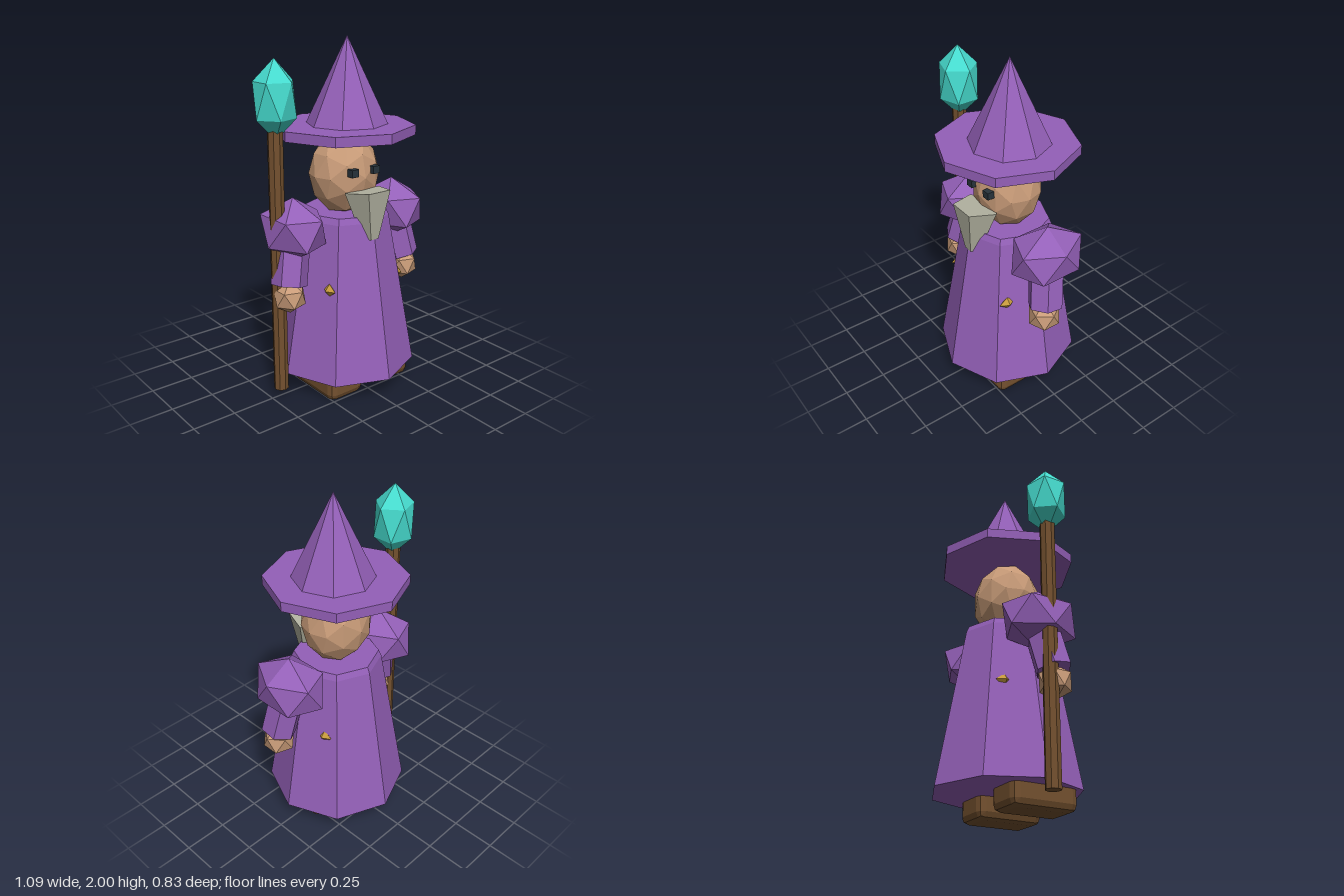
import * as THREE from 'three';
import { RoundedBoxGeometry } from 'three/addons/geometries/RoundedBoxGeometry.js';

const mat = (color) => new THREE.MeshStandardMaterial({ color, flatShading: true });
const cloth = mat(0x9460b8), skin = mat(0xc89b78), wood = mat(0x74512f),
  hair = mat(0xb4b4a2), gem = mat(0x46dccf), gold = mat(0xc79a3c), dark = mat(0x28343c);

export function createModel() {
  const model = new THREE.Group();
  const add = (name, geometry, material, x, y, z) => {
    const mesh = new THREE.Mesh(geometry, material);
    mesh.name = name;
    mesh.position.set(x, y, z);
    model.add(mesh);
    return mesh;
  };
  // Icosahedron standing on a point, stretched per axis
  const nugget = (sx, sy, sz) => new THREE.IcosahedronGeometry(1, 0)
    .rotateZ(-Math.atan(2 / (1 + Math.sqrt(5)))).scale(sx, sy, sz);

  // Robe and collar
  add('robe', new THREE.CylinderGeometry(0.255, 0.413, 0.89, 8), cloth, 0.02, 0.565, 0);
  add('collar', new THREE.CylinderGeometry(0.24, 0.255, 0.035, 8), cloth, 0.02, 1.0275, 0);

  // Head, eyes and beard
  add('head', new THREE.IcosahedronGeometry(1, 1).scale(0.205, 0.24, 0.19), skin, 0.02, 1.25, 0);
  for (const x of [-0.057, 0.093])
    add('eye', new THREE.BoxGeometry(0.047, 0.042, 0.05), dark, x, 1.288, 0.172);
  const beard = add('beard', new THREE.CylinderGeometry(0.13, 0.045, 0.27, 5).rotateY(Math.PI),
    hair, 0.02, 1.05, 0.218);
  beard.rotation.x = -0.12;

  // Pointed hat
  add('hatBrim', new THREE.CylinderGeometry(0.395, 0.395, 0.055, 8), cloth, 0.02, 1.4975, 0);
  add('hatCone', new THREE.ConeGeometry(0.228, 0.475, 8), cloth, 0.04, 1.7625, 0);

  // Arms: puffed shoulder, slanting sleeve and hand
  for (const [shoulderX, handX] of [[0.378, 0.435], [-0.335, -0.4]]) {
    add('shoulder', nugget(0.182, 0.178, 0.233), cloth, shoulderX, 0.985, 0);
    const top = new THREE.Vector3(shoulderX, 0.98, 0);
    const end = new THREE.Vector3(handX, 0.685, 0.045);
    const dir = top.clone().sub(end);
    const mid = top.clone().add(end).multiplyScalar(0.5);
    const sleeve = add('sleeve', new THREE.CylinderGeometry(0.1, 0.1, dir.length(), 6),
      cloth, mid.x, mid.y, mid.z);
    sleeve.quaternion.setFromUnitVectors(new THREE.Vector3(0, 1, 0), dir.normalize());
    add('hand', nugget(0.097, 0.097, 0.097), skin, handX, 0.62, 0.05);
  }

  // Boots with chamfered edges
  for (const x of [-0.157, 0.197])
    add('boot', new RoundedBoxGeometry(0.235, 0.17, 0.385, 1, 0.04), wood, x, 0.085, 0.068);

  // Gold studs around the robe
  for (const sx of [-1, 1])
    for (const sz of [-1, 1])
      add('stud', new THREE.OctahedronGeometry(1).scale(0.03, 0.037, 0.05), gold,
        0.02 + sx * 0.245, 0.653, 0.015 + sz * 0.165);

  // Staff and crystal
  add('staff', new THREE.CylinderGeometry(0.042, 0.042, 1.5, 8), wood, -0.437, 0.8, 0);
  add('crystal', nugget(0.127, 0.212, 0.122), gem, -0.433, 1.697, 0);

  return model;
}
